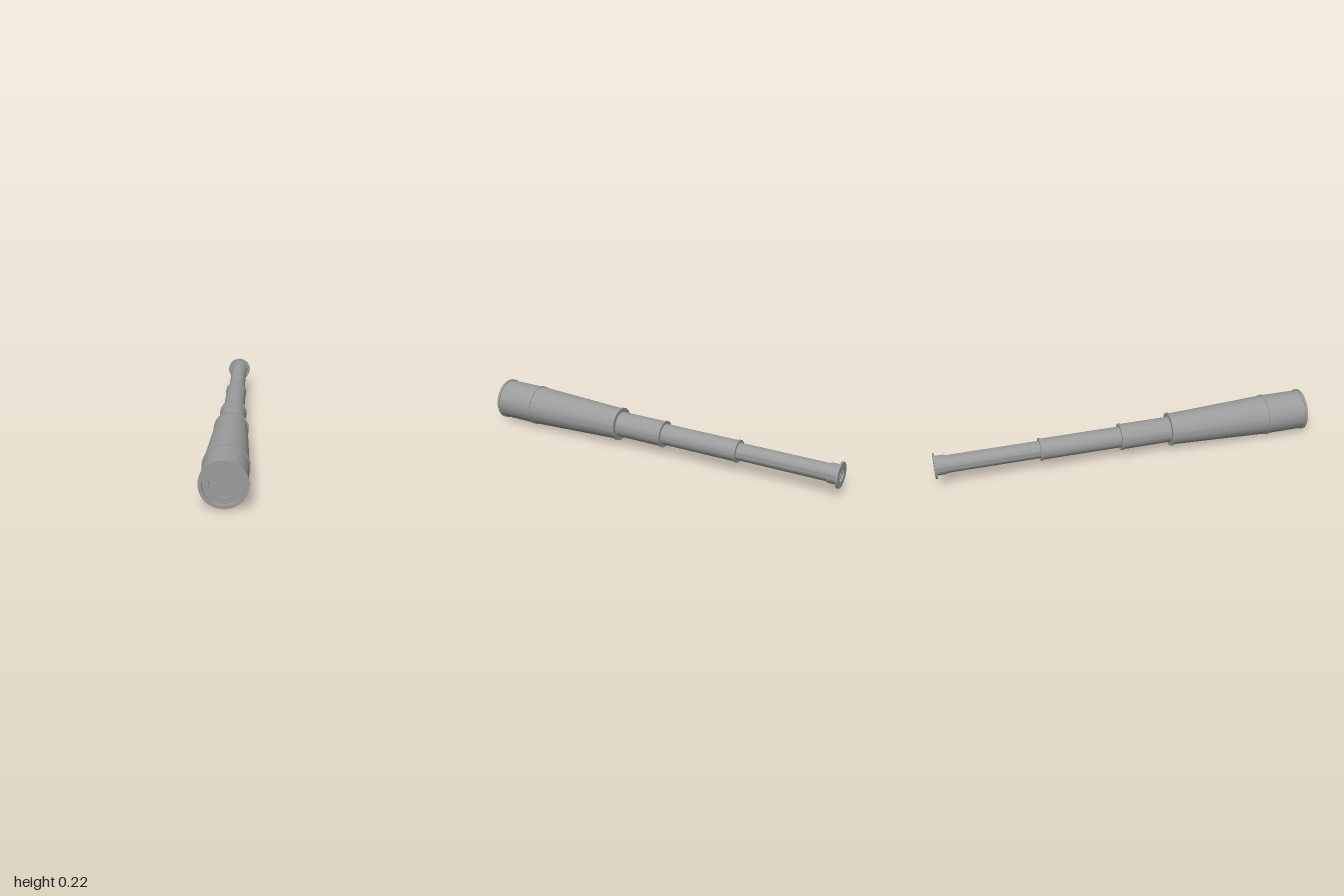
import * as THREE from 'three';
import { toCreasedNormals } from 'three/addons/utils/BufferGeometryUtils.js';

const AXIS_HEIGHT = 0.11;

export function createModel() {
  const model = new THREE.Group();
  model.name = 'spyglass';
  const material = new THREE.MeshStandardMaterial({ color: 0x9c9c9c });

  // Revolves a [radius, z] profile, listed from back to front, around the z axis
  function turned(name, profile) {
    const points = profile.map(([r, z]) => new THREE.Vector2(r, z));
    const lathe = new THREE.LatheGeometry(points, 64);
    lathe.rotateX(Math.PI / 2);
    const mesh = new THREE.Mesh(toCreasedNormals(lathe, 0.5), material);
    mesh.name = name;
    mesh.position.y = AXIS_HEIGHT;
    model.add(mesh);
  }

  // Main barrel: square back lip, long taper, then a straight front section
  turned('mainBarrel', [
    [0, 0.235], [0.089, 0.235], [0.089, 0.245], [0.083, 0.245],
    [0.105, 0.775], [0.109, 0.775], [0.109, 0.79], [0.105, 0.79],
    [0.105, 0.987], [0.11, 0.987], [0.11, 1],
    [0.094, 1], [0.094, 0.98], [0.066, 0.98], [0.066, 0.972],
  ]);

  // Glass at the bottom of the front recess
  turned('frontLens', [[0.066, 0.972], [0, 0.972]]);

  // Sliding tubes, each ending in a slightly wider lip at the back
  const tubes = [
    ['largeDrawTube', 0.067, 0.071, -0.035, 0.26],
    ['middleDrawTube', 0.055, 0.059, -0.463, -0.01],
  ];
  for (const [name, radius, lip, back, front] of tubes) {
    turned(name, [
      [0, back], [lip, back], [lip, back + 0.009],
      [radius, back + 0.009], [radius, front], [0, front],
    ]);
  }
  turned('smallDrawTube', [[0, -0.96], [0.045, -0.96], [0.045, -0.44], [0, -0.44]]);

  // Eyepiece: stepped opening, wide flange and short collar
  turned('eyepiece', [
    [0, -0.985], [0.02, -0.985], [0.02, -0.99], [0.034, -0.99], [0.034, -1],
    [0.066, -1], [0.066, -0.991], [0.05, -0.991], [0.05, -0.94], [0, -0.94],
  ]);

  return model;
}
